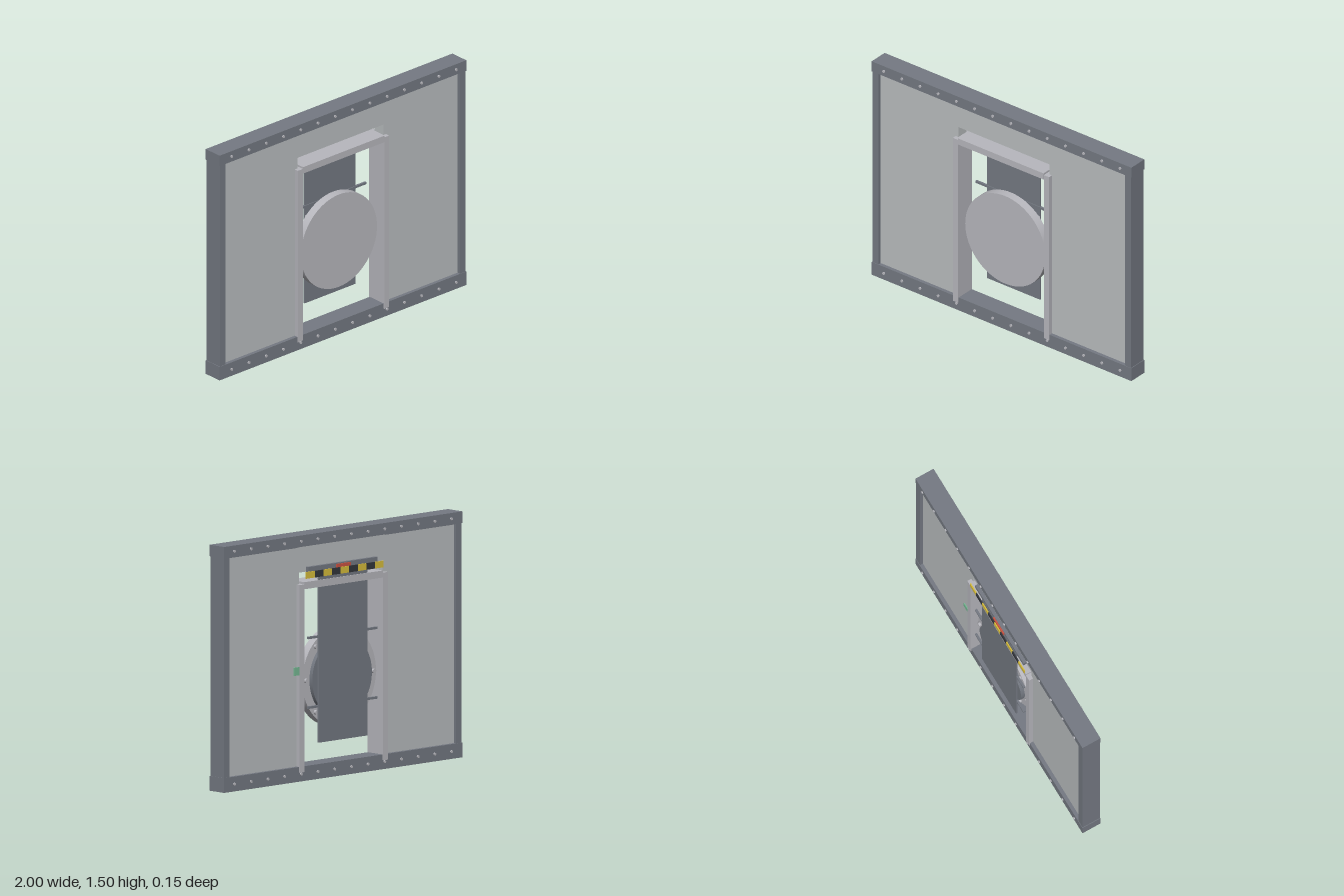
import * as THREE from 'three';

const mat = (color) => new THREE.MeshStandardMaterial({ color });
const FRAME = mat(0x757a83), WALL = mat(0xbabec0), TRIM = mat(0xb8b8be);
const YELLOW = mat(0xd9bf3c), BLACK = mat(0x33363c), RED = mat(0xcc5544), GREEN = mat(0x77bb95);

export function createModel() {
  const root = new THREE.Group();

  // box given by its min and max on each axis
  const box = (name, m, x0, x1, y0, y1, z0, z1) => {
    const mesh = new THREE.Mesh(new THREE.BoxGeometry(x1 - x0, y1 - y0, z1 - z0), m);
    mesh.position.set((x0 + x1) / 2, (y0 + y1) / 2, (z0 + z1) / 2);
    mesh.name = name;
    root.add(mesh);
    return mesh;
  };
  // the same box on the left and the right
  const pair = (name, m, x0, x1, ...rest) => {
    box(name + 'Left', m, x0, x1, ...rest);
    box(name + 'Right', m, -x1, -x0, ...rest);
  };
  // cylinder along z
  const disc = (name, m, r, x, y, z0, z1, sides) => {
    const geo = new THREE.CylinderGeometry(r, r, z1 - z0, sides).rotateX(Math.PI / 2);
    const mesh = new THREE.Mesh(geo, m);
    mesh.position.set(x, y, (z0 + z1) / 2);
    mesh.name = name;
    root.add(mesh);
  };

  // outer frame
  box('bottomBeam', FRAME, -1, 1, 0, 0.09, -0.06, 0.066);
  box('topBeam', FRAME, -1, 1, 1.43, 1.5, -0.06, 0.066);
  pair('sidePost', FRAME, 0.95, 0.996, 0.09, 1.43, -0.057, 0.063);

  // beam bolts, front and back
  for (let k = 0; k < 14; k++) {
    for (const y of [0.045, 1.465]) {
      disc('beamBolt', TRIM, 0.009, -0.905 + k * 0.14, y, -0.067, 0.073, 12);
    }
  }

  // wall with a doorway
  const wall = new THREE.Shape([
    [-0.95, 0.09], [-0.35, 0.09], [-0.35, 1.27], [0.35, 1.27],
    [0.35, 0.09], [0.95, 0.09], [0.95, 1.43], [-0.95, 1.43],
  ].map(([x, y]) => new THREE.Vector2(x, y)));
  const wallMesh = new THREE.Mesh(
    new THREE.ExtrudeGeometry(wall, { depth: 0.08, bevelEnabled: false }), WALL);
  wallMesh.position.z = -0.037;
  wallMesh.name = 'wallPanel';
  root.add(wallMesh);
  pair('panelTopRail', FRAME, 0.37, 0.95, 1.424, 1.43, -0.045, 0.051);

  // door surround
  pair('doorJamb', TRIM, 0.33, 0.37, 0.055, 1.2, -0.065, 0.071);
  box('doorHeader', TRIM, -0.33, 0.33, 1.17, 1.213, -0.065, 0.074);

  // hanging plate with its rail and cross rods
  box('hangingPlate', FRAME, -0.205, 0.205, 0.22, 1.27, -0.06, -0.05);
  box('hangingRail', FRAME, -0.29, 0.29, 1.268, 1.3, -0.058, -0.037);
  for (const y of [0.442, 0.867]) {
    box('crossRod', FRAME, -0.29, 0.29, y - 0.007, y + 0.007, -0.059, -0.045);
  }

  // round door with a raised hub and a ring of bolts at the back
  disc('roundDoor', TRIM, 0.308, 0, 0.602, -0.025, 0.03, 64);
  disc('doorHub', FRAME, 0.25, 0, 0.602, -0.05, -0.025, 64);
  for (let i = 0; i < 8; i++) {
    const a = (i * Math.PI) / 4;
    disc('doorBolt', TRIM, 0.014, 0.283 * Math.cos(a), 0.602 + 0.283 * Math.sin(a), -0.04, -0.025, 12);
  }

  // striped warning bar and small marker plates at the back
  const w = 0.65 / 9;
  for (let i = 0; i < 9; i++) {
    const x = -0.325 + i * w;
    box('warningStripe', i % 2 ? BLACK : YELLOW, x, x + w, 1.234, 1.274, -0.074, -0.067);
  }
  box('redMarker', RED, -0.06, 0.06, 1.26, 1.294, -0.067, -0.058);
  box('greenMarker', GREEN, 0.368, 0.415, 0.65, 0.7, -0.064, -0.058);

  return root;
}
